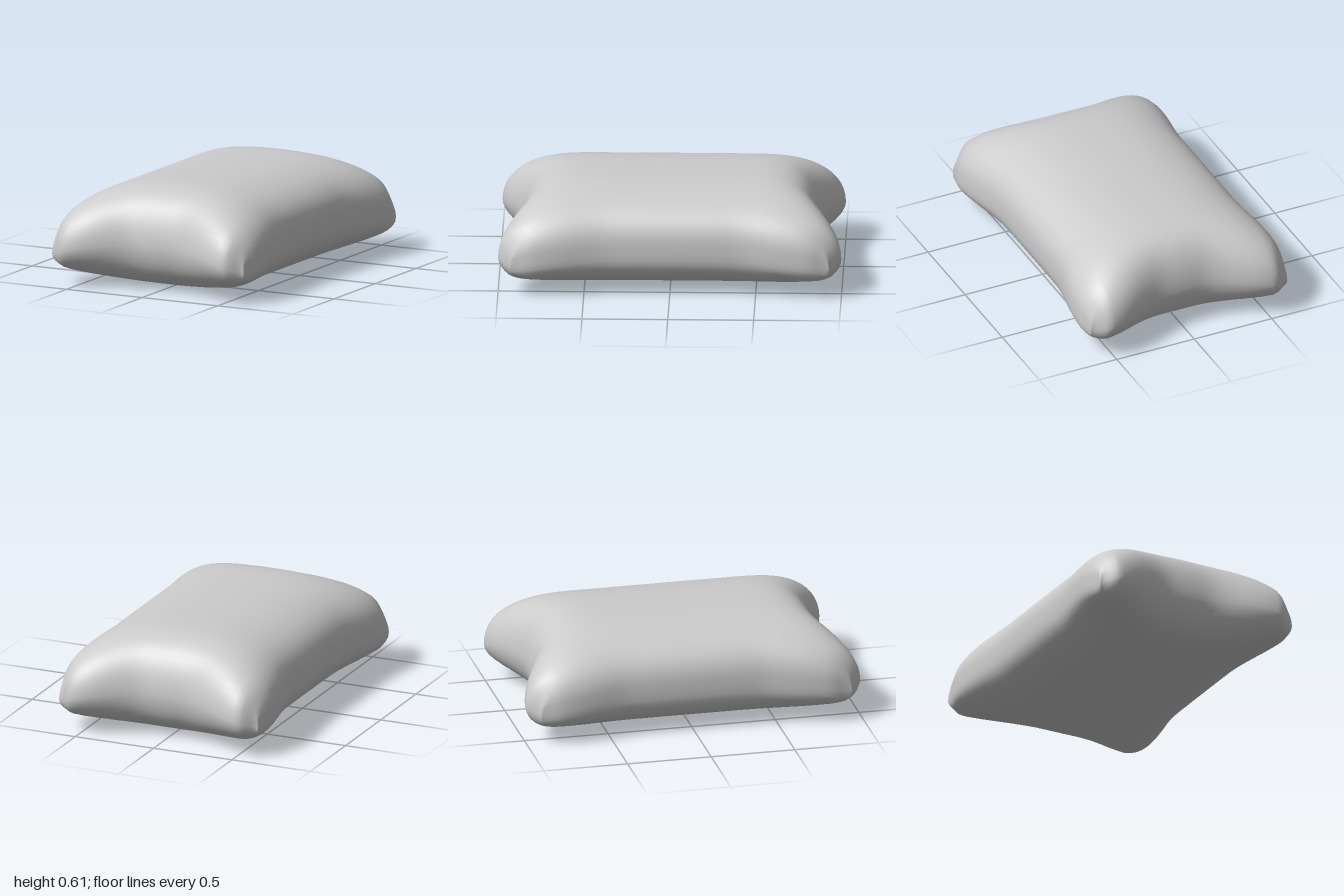
import * as THREE from 'three';
import { mergeGeometries, mergeVertices } from 'three/addons/utils/BufferGeometryUtils.js';

const smooth = THREE.MathUtils.smoothstep;

// Rounded falloff from 1 in the middle to 0 at the rim
const falloff = (t, power, round) => Math.pow(Math.max(0, 1 - Math.pow(t, power)), round);

// Soft minimum of two falloffs: a higher k keeps the corners fuller
const blend = (a, b, k) => Math.pow(Math.pow(a, -k) + Math.pow(b, -k) - 1, -1 / k);

// Maps (u, v) in [-1, 1] to a point on the upper (side 1) or lower (side -1) sheet
function cushionPoint(u, v, side) {
  const a = Math.min(1, Math.abs(u));
  const b = Math.min(1, Math.abs(v));

  // Plan outline: hollow ends and slightly waisted sides, with four plump corners
  const earZ = 0.135 * smooth(a, 0.17, 0.86) - 0.07 * smooth(a, 0.85, 1);
  const earX = 0.052 * smooth(b, 0.4, 0.88) - 0.02 * smooth(b, 0.88, 1);
  const x = u * (0.603 + earX * a * a);
  const z = v * (0.865 + earZ * Math.pow(b, 4));

  // Heights above and below the seam, which dips towards the corners
  const seam = 0.27 - 0.08 * Math.pow(a * b, 3);
  const across = falloff(a, 2.5, 0.37);
  const along = falloff(b, 8, 0.55);
  const y = side > 0
    ? seam + (0.607 - seam) * blend(across, along, 1)
    : seam * (1 - blend(across, along, 4));
  return [x, y, z];
}

// One half of the cushion; sine spacing gathers the rows near the rim
function sheet(side) {
  const geometry = new THREE.PlaneGeometry(2, 2, 40, 48);
  geometry.deleteAttribute('uv');
  geometry.deleteAttribute('normal');
  const p = geometry.attributes.position;
  for (let i = 0; i < p.count; i++) {
    const u = Math.sin(p.getX(i) * Math.PI / 2);
    const v = Math.sin(-side * p.getY(i) * Math.PI / 2);
    p.setXYZ(i, ...cushionPoint(u, v, side));
  }
  return geometry;
}

export function createModel() {
  const group = new THREE.Group();
  group.name = 'pillow';

  // Both halves welded along the seam for a smooth rim
  const geometry = mergeVertices(mergeGeometries([sheet(1), sheet(-1)]), 1e-4);
  geometry.computeVertexNormals();

  const cushion = new THREE.Mesh(geometry, new THREE.MeshStandardMaterial({ color: 0xcccccc }));
  cushion.name = 'cushion';
  group.add(cushion);
  return group;
}
